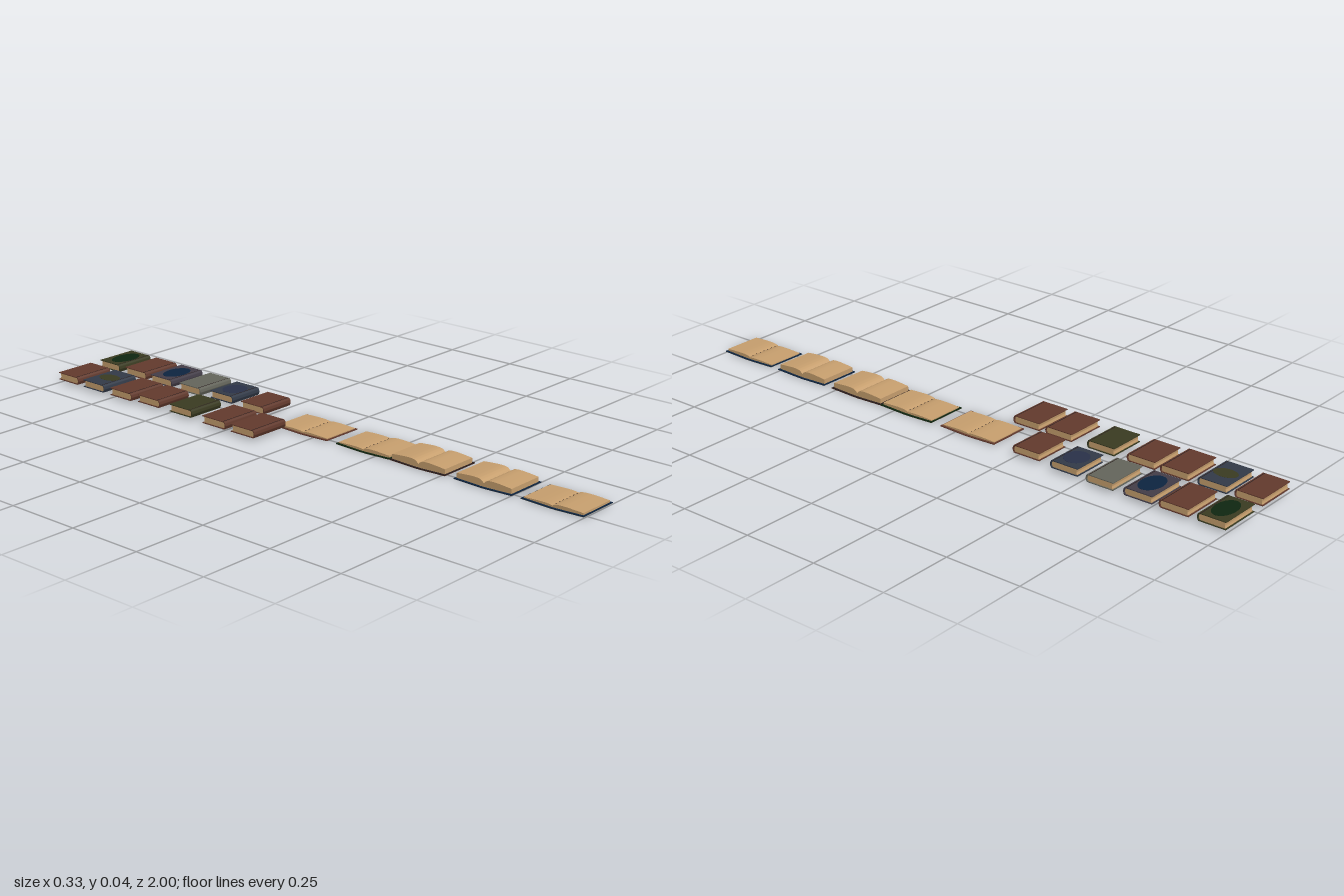
import * as THREE from 'three';
import { toCreasedNormals } from 'three/addons/utils/BufferGeometryUtils.js';

const mat = (name, color) => new THREE.MeshStandardMaterial({ name, color });

// Extrude a (z, y) profile along x, centred on x = 0
function extrudeX(shape, length) {
  const g = new THREE.ExtrudeGeometry(shape, { depth: length, bevelEnabled: false, curveSegments: 8 });
  g.rotateY(-Math.PI / 2).translate(length / 2, 0, 0);
  return toCreasedNormals(g, 0.6);
}

function add(parent, name, geometry, material, x = 0, y = 0, z = 0) {
  const m = new THREE.Mesh(geometry, material);
  m.name = name;
  m.position.set(x, y, z);
  parent.add(m);
  return m;
}

const ellipse = (rx, rz, thick) => new THREE.CylinderGeometry(1, 1, thick, 28).scale(rx, 1, rz);

export function createModel() {
  const root = new THREE.Group();
  root.name = 'bookCollection';
  const M = {
    brown: mat('brown leather', 0x633a2d),
    paper: mat('aged paper', 0xc79f6e),
    olive: mat('olive cloth', 0x3a3b21),
    slate: mat('slate blue cloth', 0x323a48),
    gray: mat('gray cloth', 0x64655b),
    navy: mat('navy ink', 0x0d2440),
    green: mat('dark green ink', 0x0f2611),
    plum: mat('plum slate cloth', 0x433d48),
    indigo: mat('muted indigo', 0x2a3149),
    dark: mat('dark trim', 0x2a1e1e),
  };

  // Closed book: spine at +z, pages open to -x, +x and -z
  function closedBook(x0, x1, z0, z1, cover, emblem) {
    const g = new THREE.Group();
    g.name = 'closedBook';
    const W = x1 - x0, H = 0.025, t = 0.0025, b = z0 - z1, f = -0.005;
    g.position.set((x0 + x1) / 2, 0.011, z1);

    const s = new THREE.Shape();
    s.moveTo(b, 0);
    s.lineTo(f, 0);
    s.quadraticCurveTo(0.005, H / 2, f, H);
    s.lineTo(b, H);
    s.lineTo(b, H - t);
    s.lineTo(f - 0.002, H - t);
    s.quadraticCurveTo(0.001, H / 2, f - 0.002, t);
    s.lineTo(b, t);
    add(g, 'cover', extrudeX(s, W), M[cover]);

    // Page block with a hollowed fore edge
    const p = new THREE.Shape();
    p.moveTo(b + 0.004, t);
    p.lineTo(f - 0.003, t);
    p.quadraticCurveTo(-0.001, H / 2, f - 0.003, H - t);
    p.lineTo(b + 0.004, H - t);
    p.quadraticCurveTo(b + 0.008, H / 2, b + 0.004, t);
    add(g, 'pages', extrudeX(p, W - 0.007), M.paper);

    for (const y of [0, H]) {
      add(g, 'hingeLine', new THREE.BoxGeometry(W, 0.0006, 0.0025), M.dark, 0, y, f - 0.006);
      if (emblem) {
        const [color, rx, rz] = emblem;
        add(g, 'coverEmblem', ellipse(rx, rz, 0.0008), M[color], 0, y, b / 2);
      }
    }
    root.add(g);
  }

  const L = -0.166, R = -0.024;
  closedBook(L, R, -1.0, -0.905, 'brown');
  closedBook(L, R, -0.88, -0.78, 'slate', ['olive', 0.028, 0.04]);
  closedBook(L, R, -0.75, -0.65, 'brown');
  closedBook(-0.155, R, -0.632, -0.532, 'brown');
  closedBook(-0.155, R, -0.487, -0.387, 'olive');
  closedBook(L, R, -0.33, -0.23, 'brown');
  closedBook(L, R, -0.207, -0.107, 'brown');
  closedBook(0.02, 0.164, -1.0, -0.905, 'olive', ['green', 0.056, 0.034]);
  closedBook(0.02, 0.164, -0.877, -0.777, 'brown');
  closedBook(0.02, 0.164, -0.755, -0.655, 'plum', ['navy', 0.054, 0.036]);
  closedBook(0.02, 0.164, -0.62, -0.523, 'gray');
  closedBook(0.03, 0.155, -0.487, -0.387, 'slate', ['indigo', 0.043, 0.039]);
  closedBook(0.017, 0.143, -0.338, -0.238, 'brown');

  // Open book: spine along x, hBack and hFront are the page heights on each half
  function openBook(z0, z1, cover, trim, hBack, hFront, emblems = []) {
    const g = new THREE.Group();
    g.name = 'openBook';
    const half = (z1 - z0) / 2, t = 0.003, rise = 0.003;
    g.position.set(0.0535, 0, (z0 + z1) / 2);

    // Board outside and its darker inner lining
    const board = (lo, hi) => {
      const s = new THREE.Shape();
      s.moveTo(-half, rise + lo);
      s.lineTo(-0.012, lo);
      s.lineTo(0.012, lo);
      s.lineTo(half, rise + lo);
      s.lineTo(half, rise + hi);
      s.lineTo(0.012, hi);
      s.lineTo(-0.012, hi);
      s.lineTo(-half, rise + hi);
      return extrudeX(s, 0.145);
    };
    add(g, 'cover', board(0, 0.001), M[cover]);
    add(g, 'coverLining', board(0.001, t), M[trim]);

    for (const [side, h] of [[-1, hBack], [1, hFront]]) {
      const e = half - 0.005;
      const top = new THREE.SplineCurve([
        [0, Math.min(h * 0.7, 0.014)], [0.012, h * 0.9], [0.034, h], [0.065, h * 0.94], [e, h * 0.82],
      ].map(([d, y]) => new THREE.Vector2(side * d, y))).getPoints(16);
      const s = new THREE.Shape([
        new THREE.Vector2(0, t), ...top,
        new THREE.Vector2(side * e, t + rise), new THREE.Vector2(side * 0.012, t),
      ]);
      add(g, 'pages', extrudeX(s, 0.131), M.paper);
    }
    emblems.forEach(([color, rx, rz], i) => {
      const side = i ? 1 : -1;
      const m = add(g, 'coverEmblem', ellipse(rx, rz, 0.0008), M[color], 0, rise / 2 + 0.0004, side * (half + 0.012) / 2);
      m.rotation.x = -side * Math.atan(rise / (half - 0.012));
    });
    // Binding stitches along the gutter of the thinner books
    if (hBack < 0.015) {
      for (let i = -3; i <= 3; i++) {
        add(g, 'stitch', new THREE.BoxGeometry(0.005, 0.001, 0.0015), M.dark, i * 0.017, Math.max(hBack, hFront) * 0.7 + 0.0004, 0);
      }
    }
    root.add(g);
  }

  openBook(-0.153, 0.058, 'brown', 'brown', 0.0105, 0.0105);
  openBook(0.095, 0.304, 'olive', 'green', 0.011, 0.015, [['green', 0.054, 0.034], ['green', 0.054, 0.034]]);
  openBook(0.306, 0.515, 'brown', 'dark', 0.026, 0.026);
  openBook(0.548, 0.755, 'slate', 'navy', 0.026, 0.026, [['navy', 0.052, 0.036], ['olive', 0.028, 0.036]]);
  openBook(0.787, 1.0, 'gray', 'navy', 0.011, 0.015);

  return root;
}
